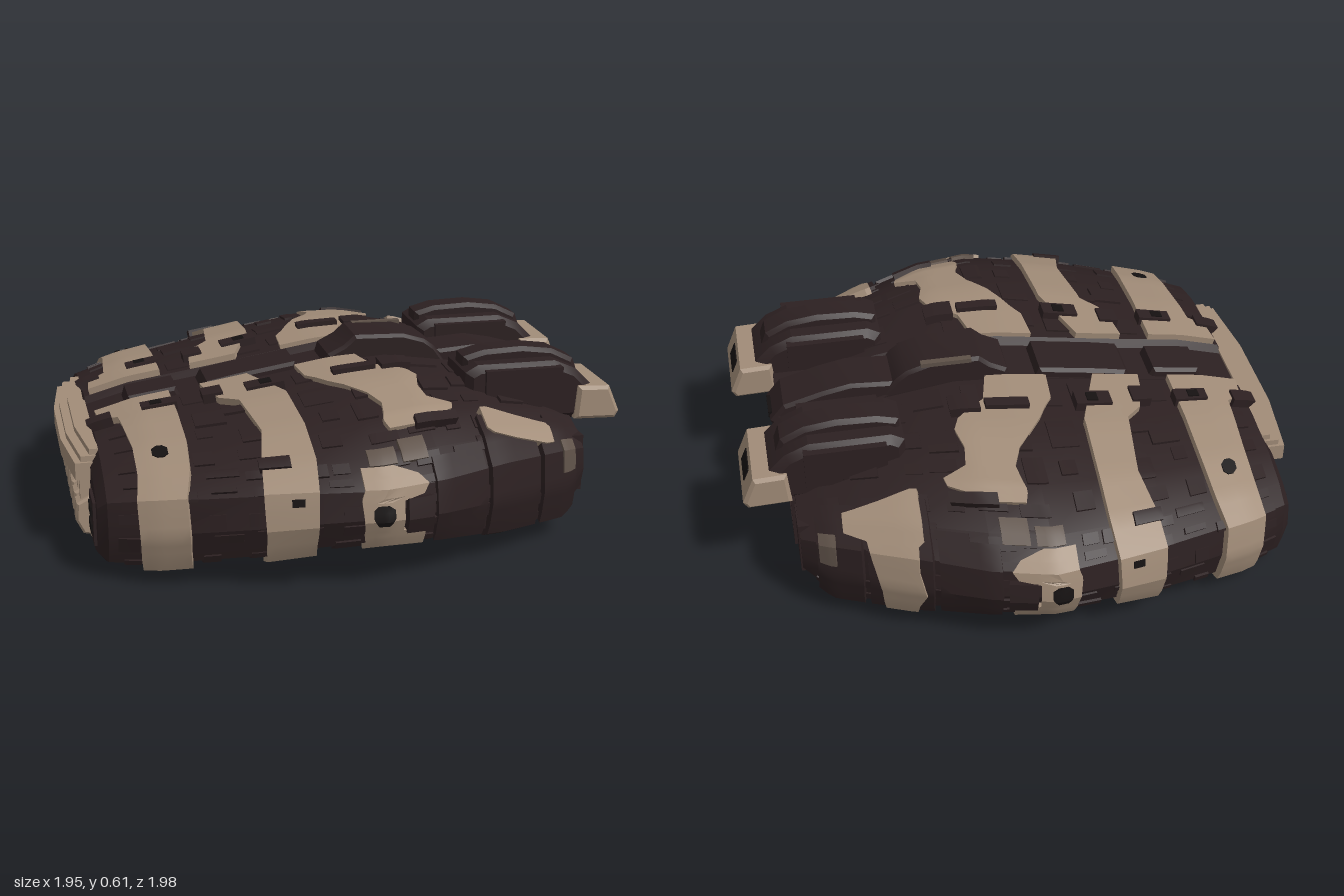
import * as THREE from 'three';
import { mergeGeometries, toCreasedNormals } from 'three/addons/utils/BufferGeometryUtils.js';

const paint = (name, color) => Object.assign(new THREE.MeshStandardMaterial({ color }), { name });

// Hull stations: x, half width, bottom half width, bottom y, low rim y, high rim y, roof y
const STATIONS = [
  [-0.89, 0.675, 0.52, 0.05, 0.09, 0.25, 0.33],
  [-0.86, 0.71, 0.55, 0.02, 0.07, 0.28, 0.38],
  [-0.7, 0.785, 0.57, 0.02, 0.08, 0.3, 0.425],
  [-0.4, 0.888, 0.58, 0.02, 0.12, 0.33, 0.47],
  [-0.2, 0.935, 0.58, 0.02, 0.15, 0.34, 0.503],
  [0, 0.97, 0.58, 0.015, 0.17, 0.345, 0.535],
  [0.2, 0.915, 0.57, 0.01, 0.15, 0.345, 0.547],
  [0.45, 0.79, 0.55, 0.01, 0.11, 0.34, 0.51],
  [0.7, 0.66, 0.5, 0.03, 0.09, 0.32, 0.44],
  [0.8, 0.59, 0.45, 0.13, 0.16, 0.3, 0.4],
];
const lerp = THREE.MathUtils.lerp;

function tableAt(table, v) {
  let i = 0;
  while (i < table.length - 2 && v > table[i + 1][0]) i++;
  const t = (v - table[i][0]) / (table[i + 1][0] - table[i][0]);
  return table[i].map((a, n) => lerp(a, table[i + 1][n], t));
}

// Hull point: k runs from the roof centre (0) over the rim (7) to the keel (10)
function hullPoint(x, k, side) {
  const [, w, b, bot, lo, hi, h] = tableAt(STATIONS, x);
  const ring = [
    [0, h - 0.02], [0.1, h - 0.02], [0.13, h], [0.45 * w, h - 0.005], [0.7 * w, lerp(hi, h, 0.77)],
    [0.88 * w, lerp(hi, h, 0.41)], [0.98 * w, hi], [w, (lo + hi) / 2], [0.96 * w, lo], [b, bot], [0, bot],
  ];
  const i = Math.min(9, Math.floor(k));
  return new THREE.Vector3(x, lerp(ring[i][1], ring[i + 1][1], k - i), side * lerp(ring[i][0], ring[i + 1][0], k - i));
}

// Hull point lifted along the surface normal
function lifted(x, k, side, off) {
  const du = hullPoint(x + 0.02, k, side).sub(hullPoint(x - 0.02, k, side));
  const dk = hullPoint(x, Math.min(10, k + 0.06), side).sub(hullPoint(x, Math.max(0, k - 0.06), side));
  return hullPoint(x, k, side).addScaledVector(dk.cross(du).multiplyScalar(side).normalize(), off);
}

function skin(rows, flip) {
  const n = rows[0].length, index = [];
  for (let i = 0; i < rows.length - 1; i++) for (let j = 0; j < n - 1; j++) {
    const a = i * n + j, b = a + n, c = b + 1, d = a + 1;
    index.push(...(flip ? [a, b, d, b, c, d] : [a, d, b, b, d, c]));
  }
  const geo = new THREE.BufferGeometry().setFromPoints(rows.flat());
  geo.setIndex(index);
  return geo;
}

function hullGeometry() {
  const ring = x => Array.from({ length: 21 }, (_, j) => hullPoint(x, j <= 10 ? j : 20 - j, j <= 10 ? 1 : -1));
  const rows = STATIONS.map(s => ring(s[0]));
  const collapse = r => r.map(() => new THREE.Vector3(r[0].x, 0.22, 0));
  return skin([collapse(rows[0]), ...rows, collapse(rows[rows.length - 1])]);
}

// Armour plate following the hull; keys are [k, x start, x end]
function plate(keys, side, off) {
  const k0 = keys[0][0], k1 = keys[keys.length - 1][0];
  const ks = new Set([k0, k1, ...keys.map(q => q[0])]);
  for (let k = Math.ceil(k0 * 4) / 4; k < k1; k += 0.25) ks.add(k);
  const list = [...ks].sort((a, b) => a - b), cols = [list[0], ...list, k1], rows = [], N = 6;
  for (let i = -1; i <= N + 1; i++) rows.push(cols.map((k, j) => {
    const [, xa, xb] = tableAt(keys, k);
    const edge = i < 0 || i > N || j === 0 || j === cols.length - 1;
    return lifted(lerp(xa, xb, THREE.MathUtils.clamp(i / N, 0, 1)), k, side, edge ? -0.012 : off);
  }));
  return skin(rows, side < 0);
}

const patch = (x0, x1, k0, k1) => [[k0, x0, x1], [k1, x0, x1]];

// Solid with a side outline in x and y, spanning z
function sideSolid(points, z, half, bevel = 0.012) {
  const shape = new THREE.Shape(points.map(p => new THREE.Vector2(...p)));
  const geo = new THREE.ExtrudeGeometry(shape, {
    depth: 2 * (half - bevel), bevelSize: bevel, bevelThickness: bevel, bevelOffset: -bevel, bevelSegments: 1,
  });
  return geo.translate(0, 0, z - half + bevel);
}

// Solid with a plan outline in x and z, between two heights
function planSolid(points, y0, y1) {
  const shape = new THREE.Shape(points.map(p => new THREE.Vector2(...p)));
  return new THREE.ExtrudeGeometry(shape, { depth: y1 - y0, bevelEnabled: false }).rotateX(Math.PI / 2).translate(0, y1, 0);
}

const box = (x0, x1, y0, y1, z0, z1) =>
  new THREE.BoxGeometry(x1 - x0, y1 - y0, z1 - z0).translate((x0 + x1) / 2, (y0 + y1) / 2, (z0 + z1) / 2);

export function createModel() {
  const model = new THREE.Group();
  model.name = 'armouredShip';
  const dark = paint('darkHull', 0x2c2021), cream = paint('creamArmour', 0xa18c78);
  const worn = paint('wornArmour', 0x5e5148), black = paint('blackRecess', 0x151111);

  const add = (name, mat, ...geos) => {
    const parts = geos.map(g => {
      const p = g.index ? g.toNonIndexed() : g;
      p.deleteAttribute('uv');
      p.deleteAttribute('normal');
      return p;
    });
    const mesh = new THREE.Mesh(toCreasedNormals(mergeGeometries(parts), 0.4), mat);
    mesh.name = name;
    model.add(mesh);
  };
  const both = fn => [1, -1].flatMap(fn);

  add('hull', dark, hullGeometry());

  // Three broad bands on each flank
  const bands = [
    [[2, -0.84, -0.58], [2.5, -0.83, -0.58], [2.65, -0.77, -0.58], [4, -0.75, -0.58], [5, -0.75, -0.59],
      [6, -0.76, -0.61], [8, -0.75, -0.6], [8.6, -0.74, -0.6]],
    [[2, -0.47, -0.3], [2.3, -0.46, -0.27], [2.7, -0.43, -0.23], [2.9, -0.37, -0.21], [4, -0.34, -0.2],
      [5, -0.37, -0.2], [6, -0.38, -0.21], [8.3, -0.37, -0.22]],
    [[2, -0.13, 0.09], [2.45, -0.12, 0.12], [2.6, -0.09, 0.17], [2.8, -0.06, 0.22], [3, -0.02, 0.24], [3.35, 0.04, 0.22],
      [3.7, 0.07, 0.23], [3.95, 0.06, 0.31], [4.1, 0.05, 0.3], [4.2, 0.05, 0.25], [4.4, 0.06, 0.16]],
  ];
  const tip = [[5.35, -0.07, 0.03], [5.7, -0.07, 0.11], [6, -0.07, 0.14], [6.25, -0.08, 0.12], [6.4, -0.08, 0.05],
    [7.4, -0.07, 0.05], [7.6, -0.07, 0.13], [8.2, -0.06, 0.13]];
  add('armourBands', cream, ...both(s => bands.map((b, i) => plate(b, s, i < 2 ? 0.024 : 0.017))));
  add('rimArmour', cream, ...both(s => [plate(tip, s, 0.018)]),
    plate([[4.2, 0.4, 0.42], [4.85, 0.4, 0.64], [5, 0.42, 0.65], [5.5, 0.58, 0.65], [5.65, 0.62, 0.65]], 1, 0.027),
    plate([[4.2, 0.4, 0.42], [4.85, 0.4, 0.65], [5.5, 0.4, 0.65], [5.7, 0.42, 0.58], [6.4, 0.42, 0.56], [7.2, 0.4, 0.54], [8.2, 0.44, 0.53]], -1, 0.027));
  add('wornPatches', worn, ...both(s => [
    plate(patch(-0.04, 0.05, 4.85, 5.3), s, 0.014), plate(patch(0.07, 0.16, 4.7, 5.3), s, 0.014),
    plate(patch(0.68, 0.73, 5.6, 6.6), s, 0.026)]));

  // Rear flank pods, clamps over the bands, and small hatches
  add('flankPods', dark, ...both(s => [
    plate(patch(0.17, 0.36, 5.3, 8), s, 0.016), plate(patch(0.38, 0.58, 4.4, 8.2), s, 0.02),
    plate(patch(0.6, 0.74, 4.6, 8), s, 0.02), plate(patch(0.06, 0.15, 6.35, 7.5), s, 0.026)]));
  const clamps = [[-0.69, -0.57, 2.4, 2.65], [-0.33, -0.2, 2.4, 2.65], [-0.03, 0.12, 2.5, 2.65], [0.14, 0.24, 2.4, 2.7],
    [-0.38, -0.28, 4.9, 5.2], [0.15, 0.3, 4.25, 4.5], [-0.48, -0.41, 2.3, 2.6], [-0.86, -0.79, 2.4, 2.7]];
  add('clamps', dark, ...both(s => clamps.map(c => plate(patch(...c), s, 0.034))));
  const oval = [[4.1, -0.68, -0.66], [4.2, -0.695, -0.645], [4.4, -0.695, -0.645], [4.5, -0.68, -0.66]];
  const port = [[6.5, -0.03, 0], [6.65, -0.045, 0.015], [6.95, -0.045, 0.015], [7.1, -0.03, 0]];
  add('hatches', black, ...both(s => [plate(oval, s, 0.028), plate(port, s, 0.023),
    plate(patch(-0.295, -0.255, 6.1, 6.35), s, 0.028), plate(patch(-0.66, -0.62, 2.45, 2.6), s, 0.038),
    plate(patch(-0.28, -0.24, 2.45, 2.6), s, 0.038)]));

  // Scattered low hull panels
  let seed = 7;
  const rnd = () => (seed = (seed * 16807) % 2147483647) / 2147483647;
  const panels = [];
  for (let i = 0; i < 12; i++) for (let k = 2.1; k < 8; k += 0.7) {
    const x = -0.84 + i * 0.133 + rnd() * 0.04, q = k + rnd() * 0.2;
    const p = patch(x, Math.min(0.78, x + 0.05 + rnd() * 0.06), q, q + 0.2 + rnd() * 0.3), off = 0.004 + rnd() * 0.006;
    panels.push(plate(p, 1, off), plate(p, -1, off));
  }
  add('hullPanels', dark, ...panels);

  // Central spine
  add('spine', dark,
    sideSolid([[-0.74, 0.36], [-0.72, 0.435], [-0.55, 0.46], [-0.52, 0.4]], 0, 0.08),
    sideSolid([[-0.48, 0.4], [-0.44, 0.475], [-0.34, 0.495], [-0.12, 0.53], [-0.07, 0.42]], 0, 0.095),
    sideSolid([[-0.03, 0.45], [0, 0.55], [0.06, 0.58], [0.1, 0.615], [0.28, 0.61], [0.36, 0.585], [0.4, 0.555], [0.47, 0.45]], 0, 0.1),
    sideSolid([[0.4, 0.35], [0.41, 0.54], [0.56, 0.55], [0.66, 0.53], [0.8, 0.49], [0.85, 0.43], [0.82, 0.36]], 0, 0.09),
    box(0.6, 0.82, 0.38, 0.45, -0.17, 0.17));
  add('spinePatch', worn, box(0.13, 0.31, 0.6, 0.616, -0.102, -0.078));
  add('spineSlots', black, box(0.84, 0.854, 0.42, 0.445, -0.05, 0.05));

  // Twin engines with sloped hoods
  add('engineBodies', dark, ...both(s => [
    sideSolid([[0.41, 0.36], [0.415, 0.55], [0.46, 0.575], [0.74, 0.575], [0.82, 0.54], [0.89, 0.47], [0.86, 0.36]], s * 0.315, 0.13, 0.025),
    sideSolid([[0.42, 0.5], [0.425, 0.59], [0.5, 0.61], [0.64, 0.615], [0.75, 0.6], [0.83, 0.56], [0.86, 0.48]], s * 0.315, 0.055, 0.015),
    box(0.48, 0.76, 0.42, 0.56, s * 0.315 - 0.145, s * 0.315 + 0.145)]));
  add('engineHoods', cream, ...both(s => [
    sideSolid([[0.81, 0.365], [0.82, 0.485], [0.935, 0.48], [0.975, 0.385], [0.96, 0.36]], s * 0.315, 0.15)]));
  add('engineOpenings', black, ...both(s => [
    box(0.83, 0.95, 0.354, 0.363, s * 0.315 - 0.11, s * 0.315 + 0.11),
    sideSolid([[0.938, 0.46], [0.957, 0.415], [0.966, 0.415], [0.947, 0.46]], s * 0.315, 0.06, 0.001)]));

  // Stern frames and grille
  const frame = z => [box(0.78, 0.815, 0.3, 0.33, z - 0.11, z + 0.11), box(0.78, 0.815, 0.13, 0.16, z - 0.11, z + 0.11),
    box(0.78, 0.815, 0.13, 0.33, z - 0.11, z - 0.085), box(0.78, 0.815, 0.13, 0.33, z + 0.085, z + 0.11)];
  const bars = [0.14, 0.19, 0.24, 0.29].map(y => box(0.78, 0.812, y, y + 0.028, -0.17, 0.17));
  const corners = both(s => [box(0.7, 0.805, 0.14, 0.34, s * 0.5 - 0.06, s * 0.5 + 0.06)]);
  add('sternFrames', dark, ...frame(0.3), ...frame(-0.3), ...bars, ...corners, box(0.66, 0.76, 0.04, 0.12, -0.42, 0.42));

  // Bow bumper: two bowed rails joined by teeth
  const bow = (front, rear, half) => [[rear, -half], [front + 0.03, -half], [front, -half * 0.4], [front, half * 0.4], [front + 0.03, half], [rear, half]];
  const teeth = [];
  for (let i = 0; i < 8; i++) {
    const z = -0.385 + i * 0.11;
    teeth.push(sideSolid([[-0.87, 0.06], [-0.92, 0.07], [-0.945, 0.12], [-0.94, 0.18], [-0.9, 0.2], [-0.87, 0.19]], z, 0.04, 0.008));
    teeth.push(box(-0.925, -0.88, 0.18, 0.29, z - 0.02, z + 0.02));
  }
  add('bowBumper', cream, planSolid(bow(-0.97, -0.87, 0.44), 0.27, 0.33), planSolid(bow(-0.95, -0.865, 0.43), 0.33, 0.35),
    planSolid(bow(-0.92, -0.86, 0.42), 0.35, 0.37), planSolid(bow(-0.92, -0.86, 0.43), 0.05, 0.09), ...teeth);
  add('bowPanels', dark, ...both(s => [box(-0.9, -0.84, 0.1, 0.25, s * 0.54 - 0.07, s * 0.54 + 0.07)]));
  add('bowPorts', black, ...both(s => [0.13, 0.19].map(y => box(-0.906, -0.897, y, y + 0.035, s * 0.54 - 0.04, s * 0.54 + 0.04))));
  return model;
}
